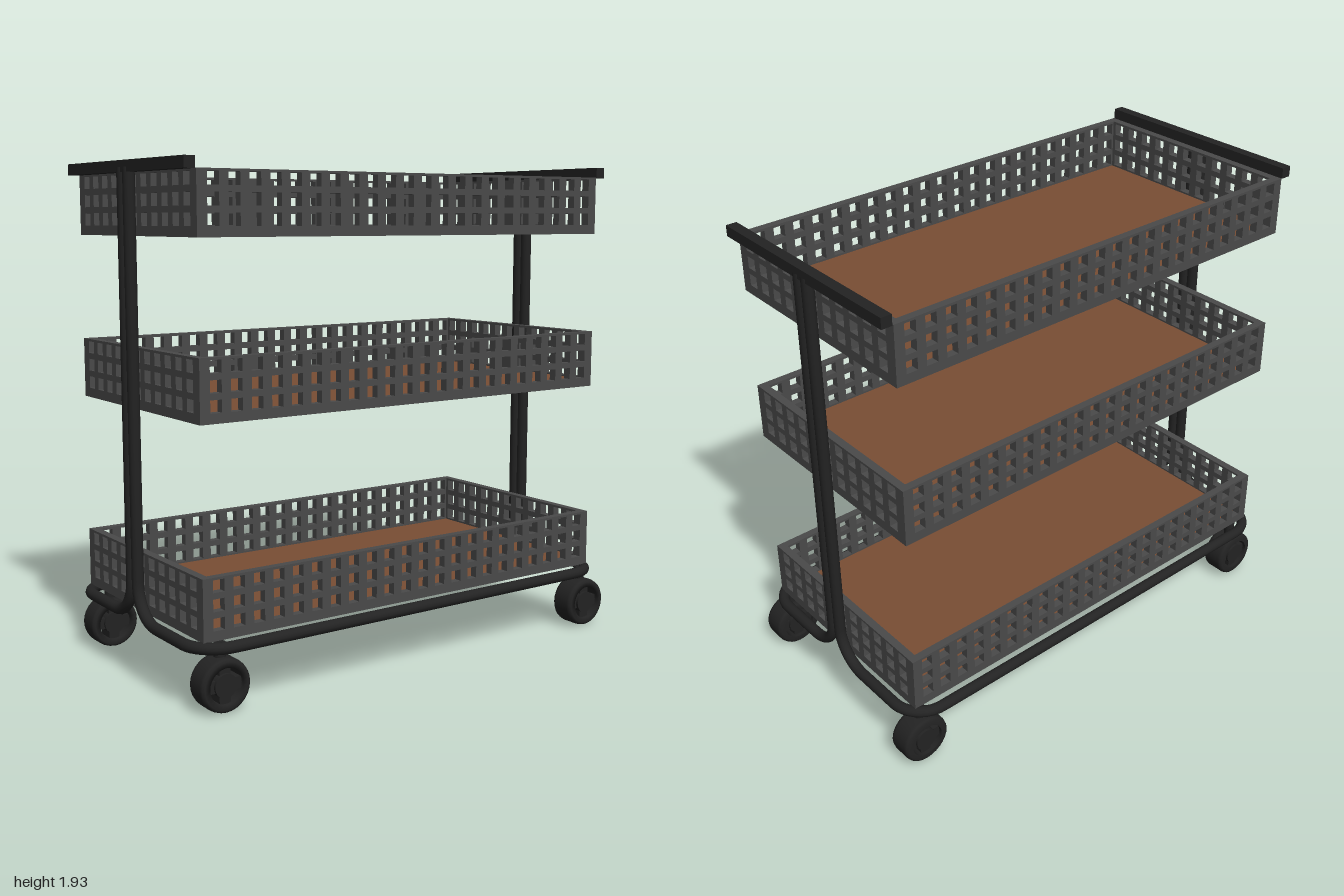
import * as THREE from 'three';

const wallMat = new THREE.MeshStandardMaterial({ color: 0x4a4a4a });
wallMat.name = 'greyMetal';
const frameMat = new THREE.MeshStandardMaterial({ color: 0x232323 });
frameMat.name = 'blackMetal';
const woodMat = new THREE.MeshStandardMaterial({ color: 0x7a4e34 });
woodMat.name = 'brownWood';

const HX = 0.935, HZ = 0.468, H = 0.23, T = 0.032; // tray half sizes, height, wall thickness

function add(parent, name, geo, mat, x = 0, y = 0, z = 0) {
  const m = new THREE.Mesh(geo, mat);
  m.name = name;
  m.position.set(x, y, z);
  parent.add(m);
  return m;
}

function rect(target, x0, y0, x1, y1) {
  target.moveTo(x0, y0);
  target.lineTo(x1, y0);
  target.lineTo(x1, y1);
  target.lineTo(x0, y1);
  target.closePath();
  return target;
}

// Upright panel pierced by three rows of square holes
function gridPanel(length, columns, pitch, hole) {
  const shape = rect(new THREE.Shape(), -length / 2, 0, length / 2, H);
  for (let c = 0; c < columns; c++) {
    const x = (c - (columns - 1) / 2) * pitch;
    for (const y of [0.06, 0.129, 0.198]) {
      shape.holes.push(rect(new THREE.Path(), x - hole / 2, y - hole / 2, x + hole / 2, y + hole / 2));
    }
  }
  const geo = new THREE.ExtrudeGeometry(shape, { depth: T, bevelEnabled: false });
  geo.translate(0, 0, -T / 2);
  return geo;
}

// One continuous bent tube: down a post, round the base and up the other post
function frameCurve(side) {
  const X = 0.965, Y = 0.24, Z = 0.503, zp = 0.024, B = 0.14, C = 0.13;
  const v = (x, y, z) => new THREE.Vector3(x, y, z * side);
  const path = new THREE.CurvePath();
  const corners = [
    [v(-X, Y, zp), B], [v(-X, Y, Z), C], [v(X, Y, Z), C], [v(X, Y, zp), B],
  ];
  const end = v(X, 1.91, zp);
  let prev = v(-X, 1.91, zp);
  corners.forEach(([p, r], i) => {
    const next = i < 3 ? corners[i + 1][0] : end;
    const a = p.clone().add(prev.clone().sub(p).setLength(r));
    const b = p.clone().add(next.clone().sub(p).setLength(r));
    // handles at 0.55 of the bend radius give a near-circular arc
    path.add(new THREE.LineCurve3(prev, a));
    path.add(new THREE.CubicBezierCurve3(a, a.clone().lerp(p, 0.55), b.clone().lerp(p, 0.55), b));
    prev = b;
  });
  path.add(new THREE.LineCurve3(prev, end));
  return path;
}

function makeCaster() {
  const g = new THREE.Group();
  g.name = 'caster';
  // Rounded tyre ring
  const profile = [
    [0.068, -0.05], [0.088, -0.05], [0.097, -0.044], [0.1, -0.032],
    [0.1, 0.032], [0.097, 0.044], [0.088, 0.05], [0.068, 0.05], [0.068, -0.05],
  ].map(([r, y]) => new THREE.Vector2(r, y));
  const tyre = new THREE.LatheGeometry(profile, 28).rotateX(Math.PI / 2);
  add(g, 'tyre', tyre, frameMat, 0, 0.1, 0);
  // Hub and crossed spokes
  add(g, 'hub', new THREE.CylinderGeometry(0.045, 0.045, 0.09, 20).rotateX(Math.PI / 2), frameMat, 0, 0.1, 0);
  add(g, 'spokeAcross', new THREE.BoxGeometry(0.15, 0.045, 0.07), frameMat, 0, 0.1, 0);
  add(g, 'spokeUpright', new THREE.BoxGeometry(0.045, 0.15, 0.07), frameMat, 0, 0.1, 0);
  add(g, 'stem', new THREE.CylinderGeometry(0.022, 0.022, 0.06, 14), frameMat, 0, 0.22, 0);
  return g;
}

export function createModel() {
  const root = new THREE.Group();
  root.name = 'trolley';
  const body = new THREE.Group();
  body.name = 'body';
  body.position.set(-0.012, 0, -0.005);
  root.add(body);

  // Three perforated trays with wooden floors
  const longPanel = gridPanel(2 * HX, 22, 0.083, 0.046);
  const shortPanel = gridPanel(2 * (HZ - T), 11, 0.08, 0.046);
  [0.26, 1.03, 1.665].forEach((y) => {
    const tray = new THREE.Group();
    tray.name = 'tray';
    tray.position.y = y;
    body.add(tray);
    for (const s of [1, -1]) {
      add(tray, 'longWall', longPanel, wallMat, 0, 0, s * (HZ - T / 2));
      add(tray, 'endWall', shortPanel, wallMat, s * (HX - T / 2), 0, 0).rotation.y = Math.PI / 2;
    }
    const w = 2 * (HX - T), d = 2 * (HZ - T);
    add(tray, 'trayBase', new THREE.BoxGeometry(w, 0.022, d), wallMat, 0, 0.011, 0);
    add(tray, 'woodFloor', new THREE.BoxGeometry(w, 0.008, d), woodMat, 0, 0.026, 0);
  });

  // Tubular frame halves and end handles
  for (const s of [1, -1]) {
    add(body, 'frameTube', new THREE.TubeGeometry(frameCurve(s), 260, 0.0225, 12), frameMat);
    add(body, 'handle', new THREE.BoxGeometry(0.043, 0.042, 2 * HZ), frameMat, s * 0.96, 1.914, 0);
  }

  // Four casters
  for (const x of [-0.875, 0.895]) {
    for (const z of [-0.452, 0.448]) {
      const c = makeCaster();
      c.position.set(x, 0, z);
      root.add(c);
    }
  }
  return root;
}
